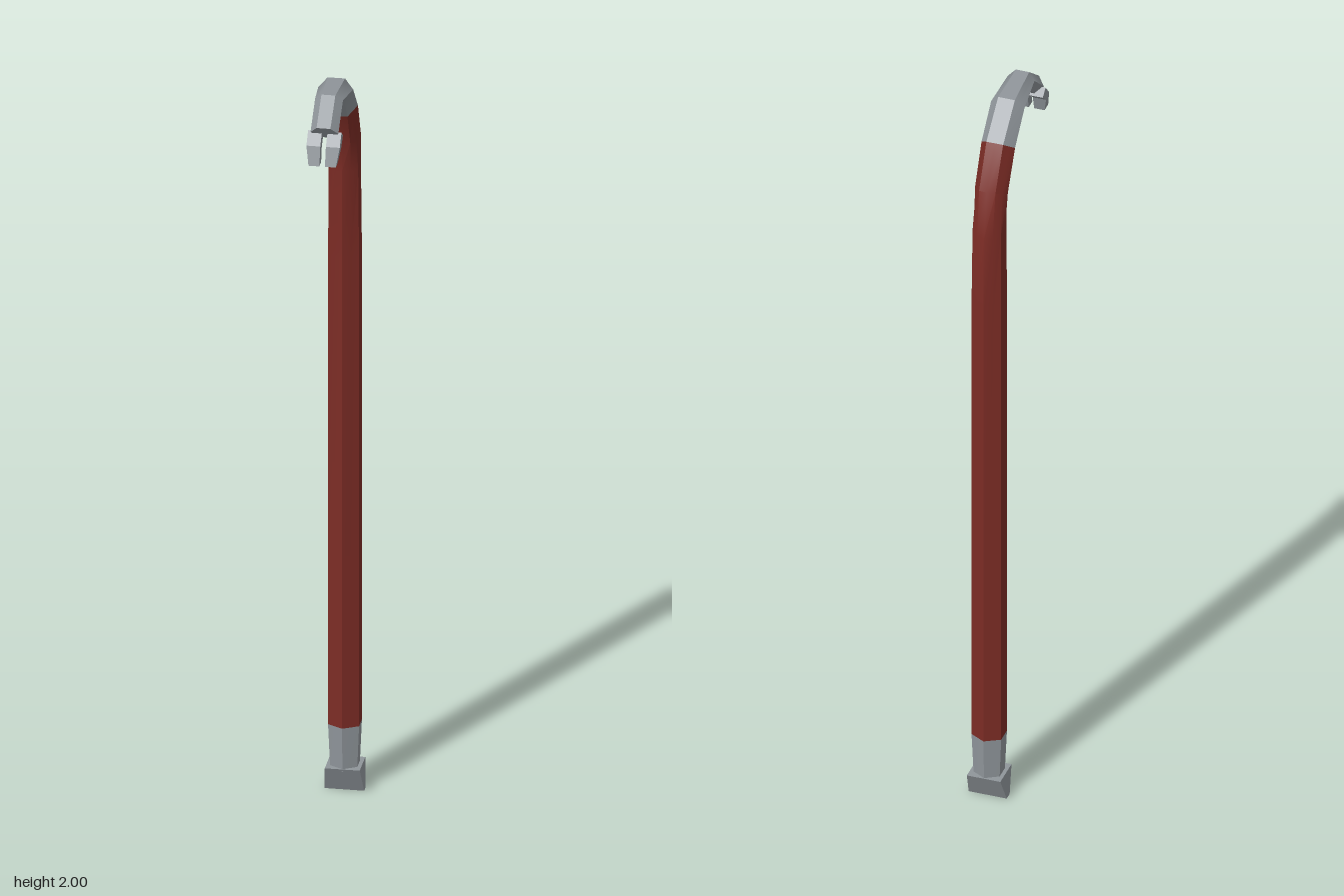
import * as THREE from 'three';
import { toCreasedNormals } from 'three/addons/utils/BufferGeometryUtils.js';

const steel = new THREE.MeshStandardMaterial({ color: 0x8f959a });
const red = new THREE.MeshStandardMaterial({ color: 0x7c2c25 });
const SIDES = 12;

// Section: [outer z, outer y, inner z, inner y, half width, turn]
// turn 0 = hexagon with a corner facing outward, 1 = hexagon with a flat facing outward
function ring([oz, oy, iz, iy, halfWidth, turn]) {
  const corner = 1, flat = Math.cos(Math.PI / 6);
  const even = corner + (flat - corner) * turn;
  const odd = flat + (corner - flat) * turn;
  const points = [];
  for (let k = 0; k < SIDES; k++) {
    const a = (k / SIDES) * Math.PI * 2;
    const r = k % 2 ? odd : even;
    const x = (halfWidth * Math.sin(a) * r) / odd;
    const t = (Math.cos(a) * r) / even / 2;
    points.push([x, (oy + iy) / 2 + (oy - iy) * t, (oz + iz) / 2 + (oz - iz) * t]);
  }
  return points;
}

// Skin a list of sections, with caps at both ends
function loft(sections) {
  const positions = [], index = [], n = sections.length;
  sections.forEach((s) => ring(s).forEach((p) => positions.push(...p)));
  for (let i = 0; i < n - 1; i++) {
    for (let k = 0; k < SIDES; k++) {
      const a = i * SIDES + k, b = i * SIDES + ((k + 1) % SIDES);
      index.push(a, a + SIDES, b, b, a + SIDES, b + SIDES);
    }
  }
  for (let k = 1; k < SIDES - 1; k++) {
    const e = (n - 1) * SIDES;
    index.push(0, k, k + 1, e, e + k + 1, e + k);
  }
  const geometry = new THREE.BufferGeometry();
  geometry.setAttribute('position', new THREE.Float32BufferAttribute(positions, 3));
  geometry.setIndex(index);
  return toCreasedNormals(geometry, 0.6);
}

// Move every vertex of a geometry by a rule
function reshape(geometry, rule) {
  const p = geometry.attributes.position, v = new THREE.Vector3();
  for (let i = 0; i < p.count; i++) {
    rule(v.fromBufferAttribute(p, i));
    p.setXYZ(i, v.x, v.y, v.z);
  }
  geometry.computeVertexNormals();
  return geometry;
}

export function createModel() {
  const group = new THREE.Group();
  const add = (name, geometry, material) => {
    const mesh = new THREE.Mesh(geometry, material);
    mesh.name = name;
    group.add(mesh);
  };

  const collar = [-0.193, 0.18, -0.106, 0.18, 0.039, 0];
  const neck = [-0.108, 1.915, -0.055, 1.873, 0.044, 1];

  // Painted shaft, turning from corner-out to flat-out through the bend
  add('shaft', loft([
    collar,
    [-0.193, 1.46, -0.106, 1.46, 0.039, 0],
    [-0.19, 1.68, -0.105, 1.7, 0.041, 0.35],
    [-0.167, 1.805, -0.098, 1.78, 0.043, 0.75],
    neck,
  ]), red);

  // Bare steel hook
  add('hook', loft([
    neck,
    [-0.02, 1.993, 0, 1.945, 0.044, 1],
    [0.1, 2, 0.08, 1.968, 0.035, 1],
    [0.174, 1.942, 0.145, 1.905, 0.035, 1],
  ]), steel);

  // Two claw prongs with tapered tips
  const profile = new THREE.Shape([
    [0.132, 1.908], [0.157, 1.886], [0.167, 1.847], [0.194, 1.847],
    [0.18, 1.895], [0.153, 1.925],
  ].map(([z, y]) => new THREE.Vector2(z, y)));
  for (const side of [-1, 1]) {
    const prong = new THREE.ExtrudeGeometry(profile, { depth: 0.035, bevelEnabled: false });
    prong.rotateY(-Math.PI / 2).translate(side < 0 ? -0.007 : 0.042, 0, 0);
    reshape(prong, (v) => {
      if (v.y < 1.86 && Math.abs(v.x) > 0.02) v.x *= 0.82;
    });
    add(side < 0 ? 'rightProng' : 'leftProng', prong, steel);
  }

  // Bare steel foot and its flared chisel tip
  add('foot', loft([
    [-0.189, 0.06, -0.11, 0.06, 0.034, 0],
    collar,
  ]), steel);
  const chisel = new THREE.BoxGeometry(2, 0.068, 2).translate(0, 0.034, 0);
  reshape(chisel, (v) => {
    const low = v.y < 0.01;
    v.x *= low ? 0.05 : 0.044;
    v.z = -0.15 + v.z * (low ? 0.011 : 0.042);
  });
  add('chiselTip', chisel, steel);

  return group;
}
